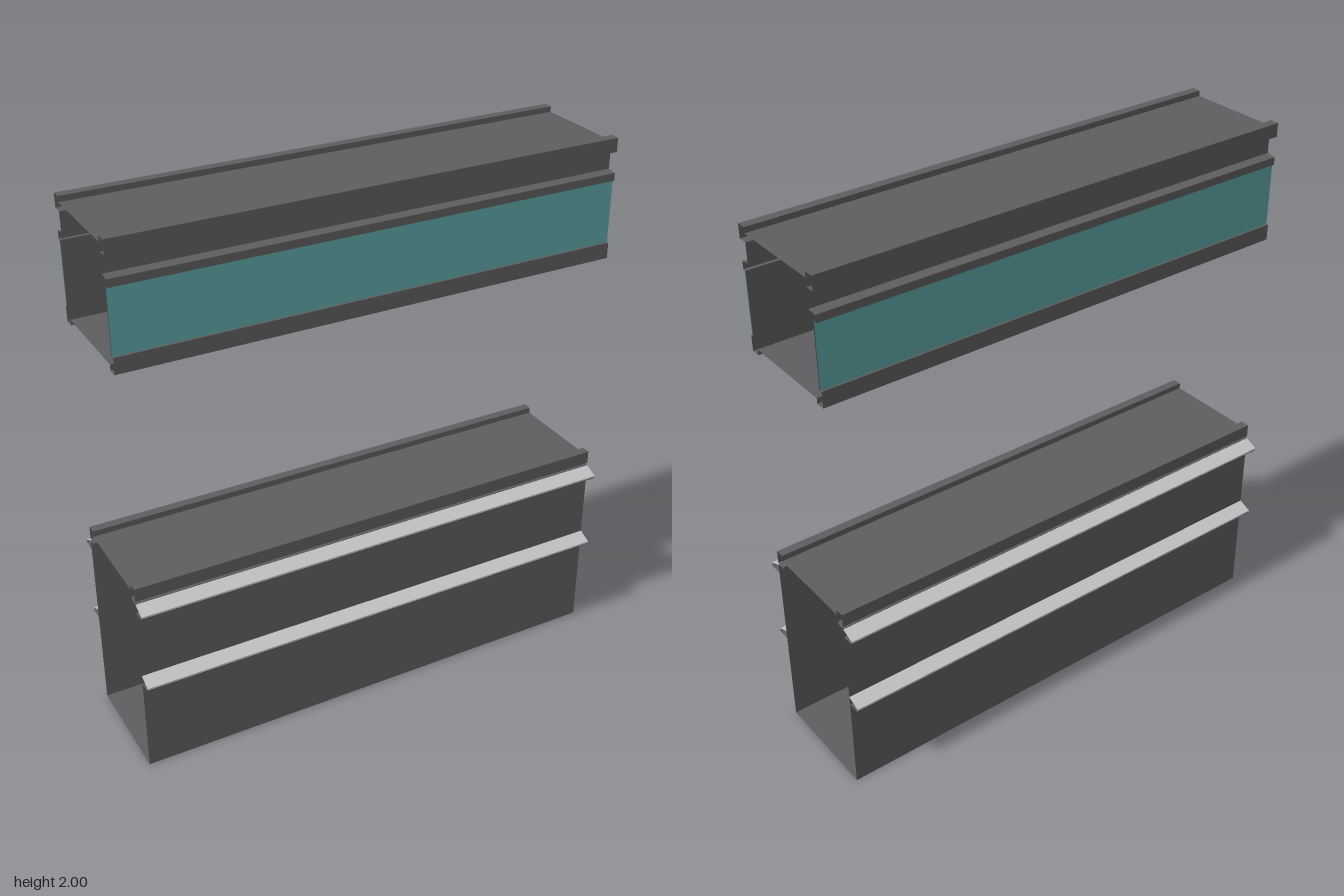
import * as THREE from 'three';

const HALF = 0.922; // half length of every extruded strip

function material(name, color) {
  const m = new THREE.MeshStandardMaterial({ color, side: THREE.DoubleSide });
  m.name = name;
  return m;
}

// Open sheet swept along x from a [z, y] profile, flat shaded, without end caps
function sheet(name, profile, mat) {
  const pos = [];
  for (let i = 0; i < profile.length - 1; i++) {
    const [az, ay] = profile[i], [bz, by] = profile[i + 1];
    pos.push(-HALF, ay, az, -HALF, by, bz, HALF, by, bz);
    pos.push(-HALF, ay, az, HALF, by, bz, HALF, ay, az);
  }
  const g = new THREE.BufferGeometry();
  g.setAttribute('position', new THREE.Float32BufferAttribute(pos, 3));
  g.computeVertexNormals();
  const mesh = new THREE.Mesh(g, mat);
  mesh.name = name;
  return mesh;
}

export function createModel() {
  const dark = material('darkGrey', 0x5e5e60);
  const light = material('lightGrey', 0xc2c2c4);
  const teal = material('teal', 0x5ea6a6);
  const model = new THREE.Group();
  model.name = 'twoOpenBeams';

  const outer = 0.212, inner = 0.178;

  // Each half runs from the roof centre over the front to the floor centre
  for (const side of ['front', 'back']) {
    const half = new THREE.Group();
    half.name = side + 'Half';

    // Upper beam: raised lips, recessed band, ledge and panel backing
    half.add(sheet('upperBeamShell', [
      [0, 1.98], [inner, 1.98], [inner, 2], [outer, 2], [outer, 1.95],
      [inner, 1.95], [inner, 1.88], [outer, 1.875], [outer, 1.847],
      [0.199, 1.847], [0.199, 1.618], [outer, 1.618], [outer, 1.56],
      [inner, 1.56], [inner, 1.58], [0, 1.58],
    ], dark));
    half.add(sheet('tealPanel', [[0.204, 1.847], [0.204, 1.618]], teal));

    // Lower beam: raised lip above a plain wall and floor
    half.add(sheet('lowerBeamShell', [
      [0, 0.74], [inner, 0.74], [inner, 0.762], [outer, 0.762], [outer, 0.712],
      [inner, 0.712], [inner, 0.704], [outer, 0.704], [outer, 0], [0, 0],
    ], dark));

    // Two side rails with a pale sloping top and a dark underside
    for (const [name, y] of [['upperRail', 0.668], ['lowerRail', 0.366]]) {
      const rail = new THREE.Group();
      rail.name = name;
      rail.add(sheet('railTop', [[outer, y + 0.034], [0.262, y + 0.013], [0.262, y + 0.006]], light));
      rail.add(sheet('railUnderside', [[0.262, y + 0.006], [0.258, y], [outer, y]], dark));
      half.add(rail);
    }

    if (side === 'back') half.rotation.y = Math.PI;
    model.add(half);
  }
  return model;
}
